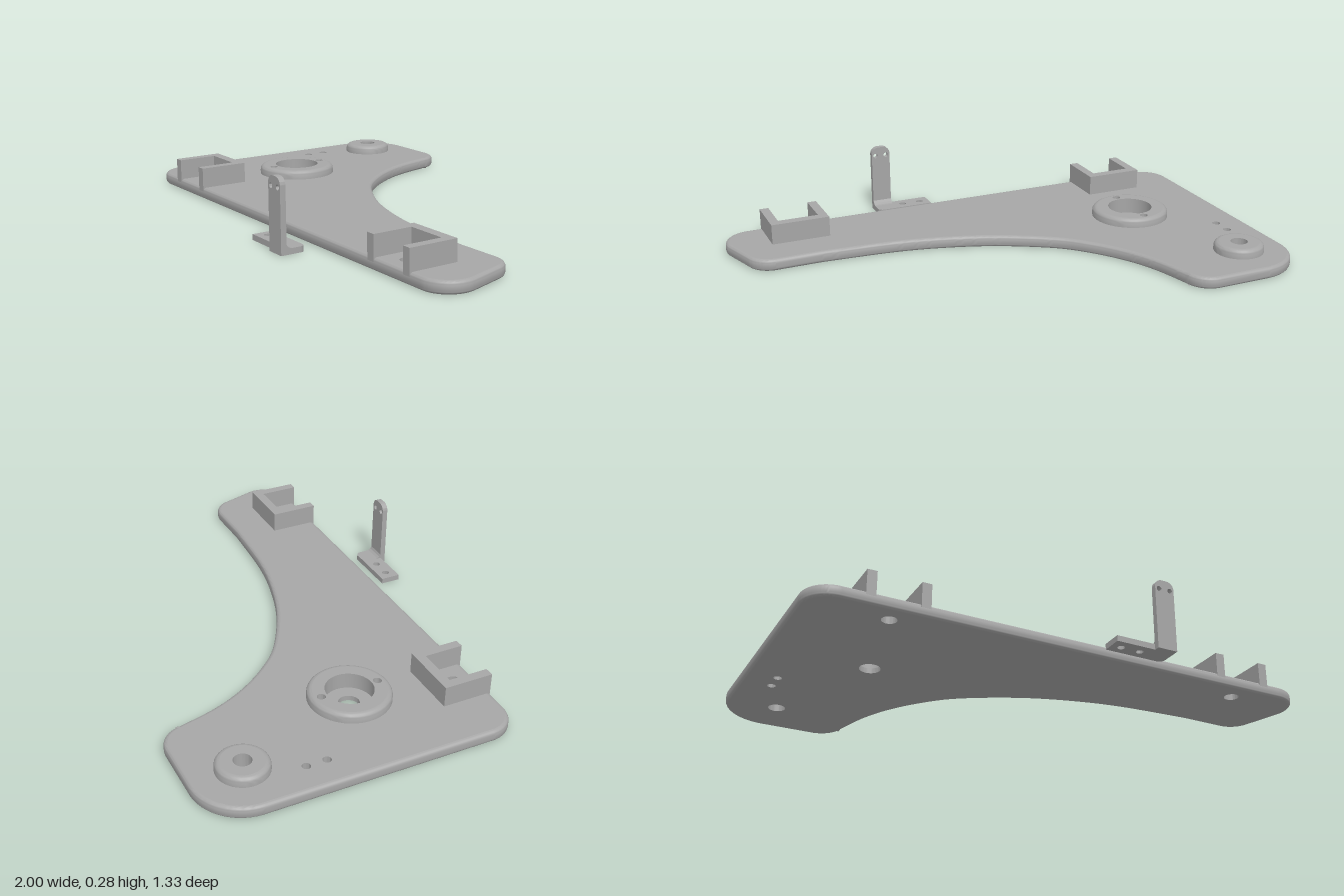
import * as THREE from 'three';
import { toCreasedNormals } from 'three/addons/utils/BufferGeometryUtils.js';

const PLATE_TOP = 0.047, BOSS_TOP = 0.083, EDGE = 0.015;

export function createModel() {
  const model = new THREE.Group();
  model.name = 'mountingPlateAndBracket';
  const grey = new THREE.MeshStandardMaterial({ color: 0xa6a6a6 });
  grey.name = 'grey';

  const add = (name, geometry, parent = model) => {
    const mesh = new THREE.Mesh(toCreasedNormals(geometry, 0.6), grey);
    mesh.name = name;
    parent.add(mesh);
    return mesh;
  };
  const group = (name) => {
    const g = new THREE.Group();
    g.name = name;
    model.add(g);
    return g;
  };
  const circle = (x, z, r) => new THREE.Path().absarc(x, -z, r, 0, Math.PI * 2, true);
  const points = (...list) => list.map(([x, y]) => new THREE.Vector2(x, y));

  // Horizontal face at height y; plan shapes use (x, -z)
  const face = (name, outline, holes, y, up, parent) => {
    const shape = new THREE.Shape(outline);
    shape.holes = holes;
    const geo = new THREE.ShapeGeometry(shape, 20);
    if (!up) {
      const idx = geo.index.array;
      for (let i = 0; i < idx.length; i += 3) [idx[i], idx[i + 1]] = [idx[i + 1], idx[i]];
    }
    geo.rotateX(-Math.PI / 2).translate(0, y, 0);
    add(name, geo, parent);
  };
  // Turned wall around a vertical axis; a falling profile faces inward
  const turned = (name, x, z, profile, parent) =>
    add(name, new THREE.LatheGeometry(points(...profile), 40).translate(x, 0, z), parent);
  // Solid extruded upward from a plan shape
  const slab = (shape, y, height) =>
    new THREE.ExtrudeGeometry(shape, { depth: height, bevelEnabled: false, curveSegments: 16 })
      .rotateX(-Math.PI / 2).translate(0, y, 0);

  // Plate outline
  const path = new THREE.Shape();
  path.moveTo(-0.89, -0.509);
  path.absarc(0.89, -0.399, 0.11, -Math.PI / 2, 0.25);
  path.absarc(0.86, -0.255, 0.095, 0.25, Math.PI / 2);
  path.lineTo(0.68, -0.163);
  path.splineThru(points([0.4, -0.144], [0.2, -0.106], [0, -0.038], [-0.2, 0.072],
    [-0.31, 0.175], [-0.4, 0.3], [-0.46, 0.43], [-0.5015, 0.584]));
  path.absarc(-0.6, 0.567, 0.1, 0.17, Math.PI / 2);
  path.absarc(-0.81, 0.477, 0.19, Math.PI / 2, Math.PI);
  path.absarc(-0.89, -0.399, 0.11, Math.PI, Math.PI * 1.5);
  const raw = path.getPoints(14);
  const outline = raw.filter((p, i) => p.distanceTo(raw[(i + 1) % raw.length]) > 1e-4);
  const n = outline.length;
  const inset = (d) => outline.map((p, i) => {
    const t = outline[(i + 1) % n].clone().sub(p).normalize()
      .add(p.clone().sub(outline[(i + n - 1) % n]).normalize()).normalize();
    return new THREE.Vector2(p.x - t.y * d, p.y + t.x * d);
  });

  // Plate rim with rounded upper and lower edges
  const plate = group('plate');
  const levels = [];
  for (let i = 0; i <= 5; i++) {
    const a = (i / 5) * Math.PI / 2;
    levels.push([EDGE * (1 - Math.sin(a)), EDGE * (1 - Math.cos(a))]);
  }
  for (let i = 5; i >= 0; i--) levels.push([levels[i][0], PLATE_TOP - levels[i][1]]);
  const position = [], index = [];
  levels.forEach(([d, y], row) => {
    inset(d).forEach((p, j) => {
      position.push(p.x, y, -p.y);
      if (row === 0) return;
      const k = (j + 1) % n, lo = (row - 1) * n, hi = row * n;
      index.push(lo + j, lo + k, hi + k, lo + j, hi + k, hi + j);
    });
  });
  const rim = new THREE.BufferGeometry();
  rim.setAttribute('position', new THREE.Float32BufferAttribute(position, 3));
  rim.setIndex(index);
  add('plateRim', rim, plate);

  // Plate faces and through holes
  const main = [-0.61, 0.037], small = [-0.805, -0.471];
  const through = [
    [-0.69, 0.429, 0.028], [0.72, 0.429, 0.028],
    [-0.885, -0.274, 0.016], [-0.885, -0.196, 0.016],
  ];
  const flat = inset(EDGE);
  const holes = (mainRadius) => [...through, [...small, 0.033], [...main, mainRadius]]
    .map((h) => circle(...h));
  face('plateTop', flat, holes(0.09), PLATE_TOP, true, plate);
  face('plateUnderside', flat, holes(0.04), 0, false, plate);
  for (const [x, z, r] of through) turned('holeWall', x, z, [[r, PLATE_TOP], [r, 0]], plate);

  // Round bosses with a softened top edge
  const boss = (name, [x, z], radius, bore, pins) => {
    const g = group(name);
    const soft = 0.02, profile = [[radius, PLATE_TOP - 0.005]];
    for (let i = 0; i <= 5; i++) {
      const a = (i / 5) * Math.PI / 2;
      profile.push([radius - soft * (1 - Math.cos(a)), BOSS_TOP - soft * (1 - Math.sin(a))]);
    }
    turned('bossSide', x, z, profile, g);
    const disc = new THREE.Path().absarc(x, -z, radius - soft, 0, Math.PI * 2).getPoints(40);
    const openings = [[x, z, bore[0][0]], ...pins.map((dz) => [x, z + dz, 0.016])];
    face('bossTop', disc, openings.map((h) => circle(...h)), BOSS_TOP, true, g);
    turned('bore', x, z, bore, g);
    for (const dz of pins) {
      turned('pinHole', x, z + dz, [[0.016, BOSS_TOP], [0.016, PLATE_TOP], [0, PLATE_TOP]], g);
    }
  };
  boss('mainBoss', main, 0.156, [[0.09, BOSS_TOP], [0.09, 0.02], [0.04, 0.02], [0.04, 0]], [-0.114, 0.114]);
  boss('smallBoss', small, 0.097, [[0.033, BOSS_TOP], [0.033, 0]], []);

  // U-shaped sockets open to the front
  for (const [name, x] of [['rightSocket', -0.688], ['leftSocket', 0.718]]) {
    const w = 0.117, v = 0.081, front = -0.509, back = -0.315, inner = -0.353;
    const u = new THREE.Shape(points([x - w, front], [x - v, front], [x - v, inner], [x + v, inner],
      [x + v, front], [x + w, front], [x + w, back], [x - w, back]));
    add(name, slab(u, 0.032, 0.128 - 0.032));
  }

  // Separate angle bracket: foot, upright and inside fillet
  const bracket = group('bracket');
  const foot = new THREE.Shape();
  foot.moveTo(0.075, -0.646);
  foot.lineTo(0.31, -0.646);
  foot.absarc(0.288, -0.589, 0.022, 0, Math.PI / 2);
  foot.lineTo(0.075, -0.567);
  foot.holes = [0.115, 0.192].map((x) => circle(x, 0.605, 0.014));
  add('bracketFoot', slab(foot, 0, 0.022), bracket);

  const upright = new THREE.Shape();
  upright.moveTo(0.231, 0);
  upright.lineTo(0.31, 0);
  upright.absarc(0.28, 0.247, 0.03, 0, Math.PI / 2);
  upright.absarc(0.261, 0.247, 0.03, Math.PI / 2, Math.PI);
  upright.holes = [0.248, 0.293].map((x) => circle(x, -0.24, 0.01));
  add('bracketUpright', new THREE.ExtrudeGeometry(upright,
    { depth: 0.022, bevelEnabled: false, curveSegments: 16 }).translate(0, 0, 0.645), bracket);

  const fillet = new THREE.Shape();
  fillet.moveTo(-0.646, 0.021);
  fillet.lineTo(-0.622, 0.022);
  fillet.absarc(-0.622, 0.046, 0.024, -Math.PI / 2, -Math.PI, true);
  add('bracketFillet', new THREE.ExtrudeGeometry(fillet,
    { depth: 0.079, bevelEnabled: false, curveSegments: 10 })
    .rotateY(Math.PI / 2).translate(0.231, 0, 0), bracket);

  return model;
}
